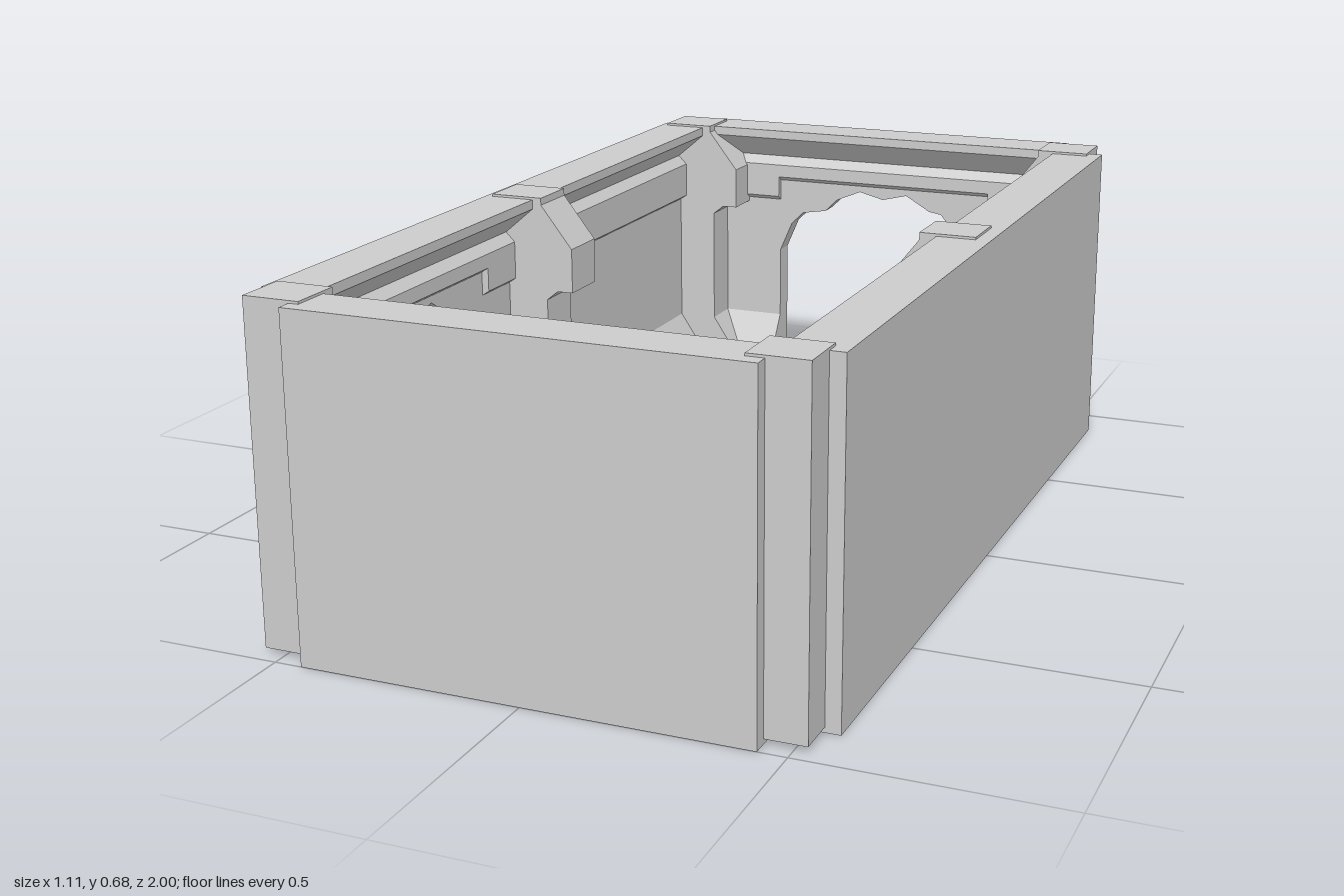
import * as THREE from 'three';

const material = new THREE.MeshStandardMaterial({ color: 0xcccccc, flatShading: true });

// Half the door width and the carved edge of its arch as [offset, height]
const DOOR = 0.27;
const ARCH = [[-0.27, 0.36], [-0.24, 0.43], [-0.21, 0.46], [-0.15, 0.47], [-0.12, 0.5], [-0.06, 0.525], [0, 0.51],
  [0.06, 0.525], [0.12, 0.49], [0.15, 0.485], [0.18, 0.45], [0.21, 0.44], [0.24, 0.38], [0.27, 0.35]];

// Wall section as [x, height]: the outer face is x = 0, the room lies at -x
const UPPER = [[-0.065, 0.58], [-0.045, 0.6], [-0.11, 0.655], [-0.11, 0.675], [0, 0.675]];
const WALL = [[0, 0], [-0.11, 0], [-0.11, 0.1], [-0.05, 0.19], [-0.05, 0.49], [-0.065, 0.5], ...UPPER];
const LINTEL = [[0, 0], [-0.05, 0], [-0.05, 0.54], [-0.065, 0.55], ...UPPER];

// Post section as [x, height]: flared foot, slim shaft, heavy head, flat cap
const POST = [[0.525, 0.01], [0.34, 0.01], [0.34, 0.1], [0.4, 0.19], [0.4, 0.46], [0.375, 0.48], [0.34, 0.48],
  [0.34, 0.575], [0.375, 0.62], [0.41, 0.665], [0.41, 0.68], [0.525, 0.68]];

function archHeight(s) {
  const i = Math.max(1, ARCH.findIndex((p) => p[0] >= s - 1e-4));
  const [a, b] = [ARCH[i - 1], ARCH[i]];
  return THREE.MathUtils.mapLinear(s, a[0], b[0], a[1], b[1]);
}

// Extrudes a section along z between two positions
function extrude(name, points, from, to, steps = 1) {
  const shape = new THREE.Shape(points.map(([x, y]) => new THREE.Vector2(x, y)));
  const geometry = new THREE.ExtrudeGeometry(shape, { depth: to - from, steps, bevelEnabled: false });
  geometry.translate(0, 0, from);
  const mesh = new THREE.Mesh(geometry, material);
  mesh.name = name;
  return mesh;
}

// A wall along z facing +x, with an optional arched door centred on z = door
function makeWall(name, half, door) {
  const wall = new THREE.Group();
  wall.name = name;
  if (door === undefined) {
    wall.add(extrude('wallPanel', WALL, -half, half));
    return wall;
  }
  wall.add(extrude('doorSide', WALL, -half, door - DOOR), extrude('doorSide', WALL, door + DOOR, half));
  const lintel = extrude('doorArch', LINTEL, -DOOR, DOOR, 18);
  const pos = lintel.geometry.attributes.position;
  for (let i = 0; i < pos.count; i++) {
    if (pos.getY(i) < 0.1) pos.setY(i, archHeight(pos.getZ(i)));
  }
  lintel.geometry.computeVertexNormals();
  lintel.position.z = door;
  wall.add(lintel);
  return wall;
}

export function createModel() {
  const model = new THREE.Group();
  model.name = 'walledRoom';

  // Four walls, two of them with doors
  const place = (wall, x, z, turn) => {
    wall.position.set(x, 0, z);
    wall.rotation.y = turn;
    model.add(wall);
  };
  place(makeWall('leftWall', 0.89), 0.555, 0, 0);
  place(makeWall('rightWall', 0.89, -0.445), -0.555, 0, Math.PI);
  place(makeWall('frontWall', 0.445), 0, 1, -Math.PI / 2);
  place(makeWall('backWall', 0.445, 0), 0, -1, Math.PI / 2);

  // Posts at the corners and in the middle of the long walls
  for (const z of [-0.915, 0, 0.915]) {
    const left = extrude('leftPost', POST, -0.055, 0.055);
    left.position.z = z;
    const right = left.clone();
    right.name = 'rightPost';
    right.rotation.y = Math.PI;
    right.position.x = -0.015;
    model.add(left, right);
  }

  // Floor slab with three broad boards separated by narrow grooves
  const addBox = (name, x0, x1, y0, y1) => {
    const mesh = new THREE.Mesh(new THREE.BoxGeometry(x1 - x0, y1 - y0, 1.78), material);
    mesh.name = name;
    mesh.position.set((x0 + x1) / 2, (y0 + y1) / 2, 0);
    model.add(mesh);
  };
  addBox('floorSlab', -0.445, 0.445, 0.002, 0.015);
  for (const [x0, x1] of [[-0.445, -0.17], [-0.15, 0.15], [0.17, 0.445]]) addBox('floorBoard', x0, x1, 0.015, 0.025);

  return model;
}
